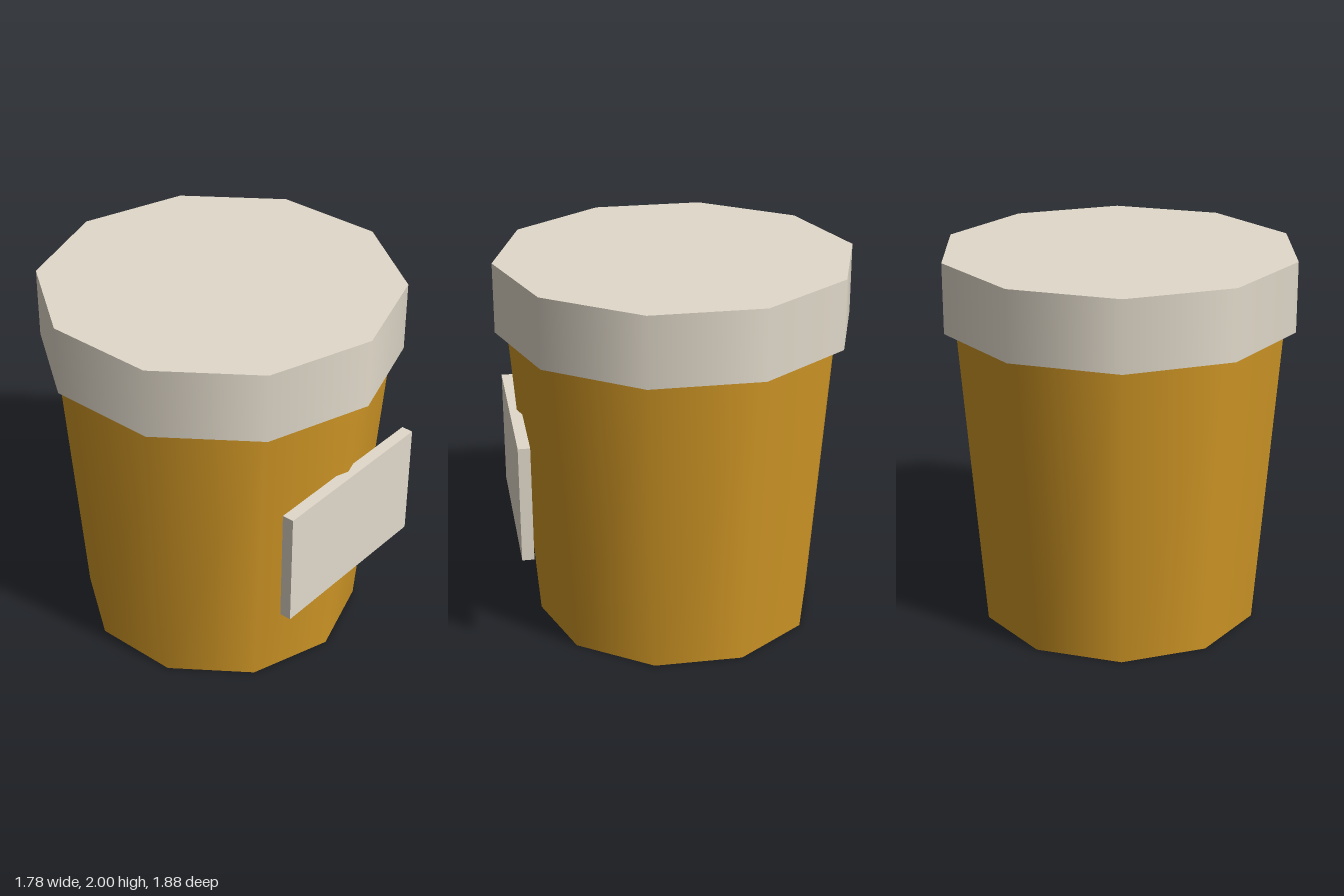
import * as THREE from 'three';

const SIDES = 10;

export function createModel() {
  const amber = new THREE.MeshStandardMaterial({ color: 0xd29826 });
  amber.name = 'amber';
  const cream = new THREE.MeshStandardMaterial({ color: 0xe1d9ca });
  cream.name = 'cream';

  const model = new THREE.Group();
  model.name = 'bottle';

  const add = (name, geometry, material, y, z = 0) => {
    const mesh = new THREE.Mesh(geometry, material);
    mesh.name = name;
    mesh.position.set(0, y, z);
    model.add(mesh);
  };

  // Tapered body, smooth around its sides
  add('body', new THREE.CylinderGeometry(0.875, 0.75, 1.63, SIDES), amber, 0.815);
  // Wide cap
  add('lid', new THREE.CylinderGeometry(0.9375, 0.9375, 0.37, SIDES), cream, 1.815);
  // Flat label on the front
  add('label', new THREE.BoxGeometry(1, 0.625, 0.0625), cream, 0.88, 0.85);

  return model;
}
